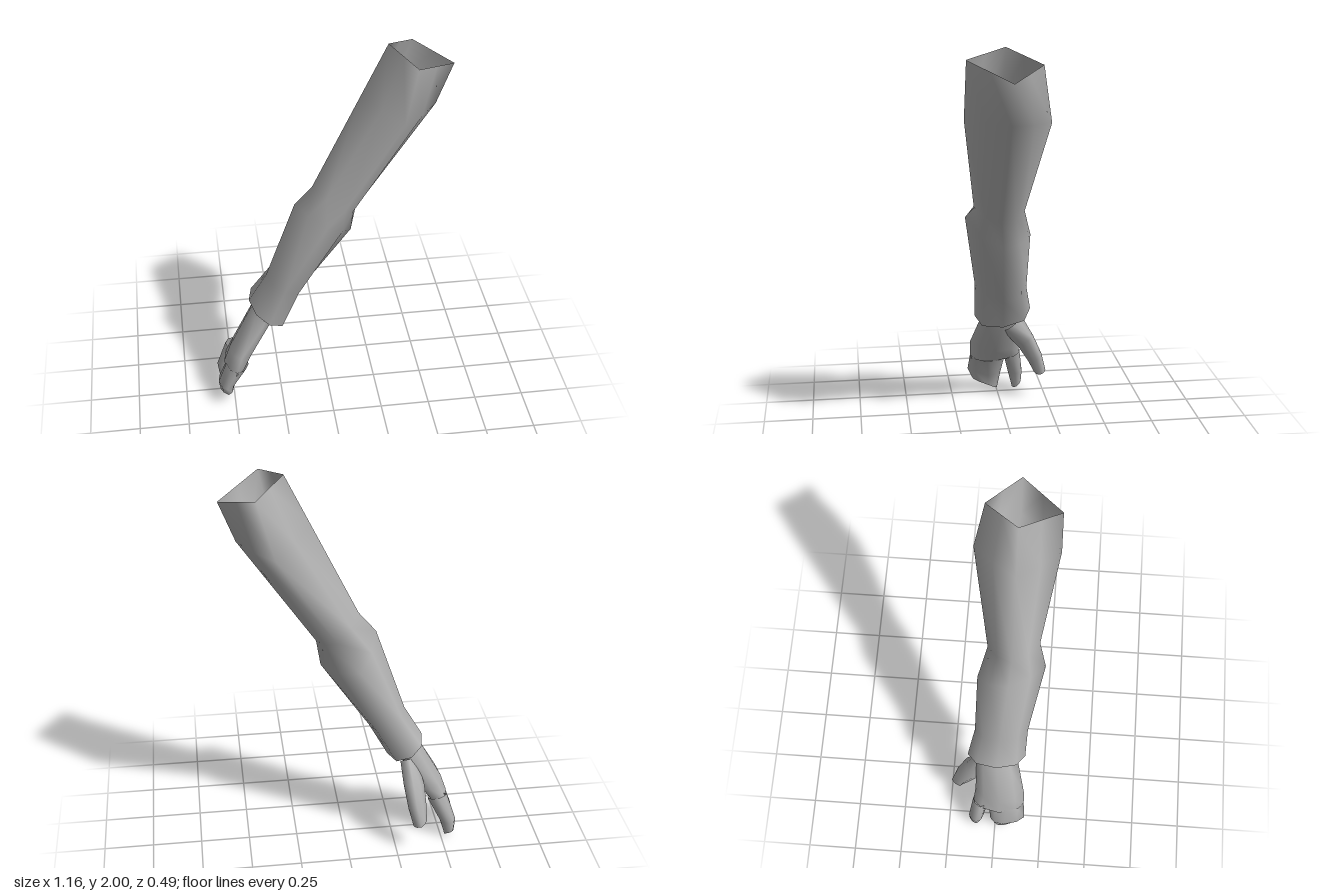
import * as THREE from 'three';

const grey = new THREE.MeshStandardMaterial({ color: 0xb0b0b0, side: THREE.DoubleSide });
grey.name = 'plain grey';

// Skin through rings running downwards. Each ring gives its outer, front, inner and
// back points, then how full its outer and inner corners are (0.5 = straight diamond).
function loft(name, rings, capped) {
  const pos = [], idx = [];
  const loops = rings.map(([o, f, i, b, outer = 0.66, inner = 0.66]) => {
    const [O, F, I, B] = [o, f, i, b].map((p) => new THREE.Vector3(...p));
    const c = O.clone().add(F).add(I).add(B).multiplyScalar(0.25);
    const corner = (p, q, k) => p.clone().add(q).addScaledVector(c, -2).multiplyScalar(k).add(c);
    return [O, corner(O, F, outer), F, corner(F, I, inner),
      I, corner(I, B, inner), B, corner(B, O, outer)];
  });
  loops.forEach((loop) => loop.forEach((p) => pos.push(p.x, p.y, p.z)));
  for (let k = 0; k < loops.length - 1; k++) {
    for (let j = 0; j < 8; j++) {
      const a = k * 8 + j, b = k * 8 + (j + 1) % 8;
      idx.push(a, a + 8, b + 8, a, b + 8, b);
    }
  }
  // Closed tip with its own ring, so the edge stays sharp
  if (capped) {
    const last = loops[loops.length - 1], start = pos.length / 3;
    const mid = new THREE.Vector3();
    last.forEach((p) => { pos.push(p.x, p.y, p.z); mid.addScaledVector(p, 1 / 8); });
    pos.push(mid.x, mid.y, mid.z);
    for (let j = 0; j < 8; j++) idx.push(start + 8, start + (j + 1) % 8, start + j);
  }
  const geo = new THREE.BufferGeometry();
  geo.setAttribute('position', new THREE.Float32BufferAttribute(pos, 3));
  geo.setIndex(idx);
  geo.computeVertexNormals();
  const mesh = new THREE.Mesh(geo, grey);
  mesh.name = name;
  return mesh;
}

export function createModel() {
  const arm = new THREE.Group();
  arm.name = 'arm';

  // Sleeve: shoulder opening, biceps, two elbow rings, forearm, open cuff
  arm.add(loft('sleeve', [
    [[0.27, 2.0, 0.05], [0.375, 1.96, 0.24], [0.577, 1.882, 0.05], [0.41, 1.937, -0.105], 0.5, 0.5],
    [[0.15, 1.75, 0.05], [0.32, 1.68, 0.247], [0.5, 1.68, 0.05], [0.33, 1.66, -0.155], 0.54, 0.54],
    [[-0.08, 1.27, 0.05], [0.06, 1.2, 0.178], [0.13, 1.13, 0.05], [0.035, 1.17, -0.073], 0.6, 0.6],
    [[-0.165, 1.17, 0.04], [-0.03, 1.13, 0.213], [0.11, 1.0, 0.04], [-0.07, 1.02, -0.117], 0.6, 0.6],
    [[-0.31, 0.74, 0.01], [-0.23, 0.72, 0.147], [-0.13, 0.65, 0.01], [-0.235, 0.69, -0.122], 0.66, 0.72],
    [[-0.402, 0.58, 0], [-0.31, 0.52, 0.142], [-0.225, 0.475, 0], [-0.325, 0.54, -0.155], 0.7, 0.75],
  ], false));

  // Hand
  const hand = new THREE.Group();
  hand.name = 'hand';
  hand.add(loft('palm', [
    [[-0.35, 0.6, 0], [-0.31, 0.57, 0.1], [-0.25, 0.54, 0], [-0.3, 0.57, -0.1]],
    [[-0.4, 0.52, 0], [-0.345, 0.48, 0.11], [-0.29, 0.46, 0], [-0.34, 0.49, -0.11]],
    [[-0.515, 0.3, 0.02], [-0.46, 0.32, 0.15], [-0.38, 0.28, 0.02], [-0.44, 0.3, -0.11]],
    [[-0.545, 0.21, 0.02], [-0.49, 0.21, 0.15], [-0.43, 0.21, 0.02], [-0.49, 0.22, -0.12]],
  ], true));
  hand.add(loft('joinedFingers', [
    [[-0.535, 0.23, 0.06], [-0.485, 0.23, 0.15], [-0.42, 0.21, 0.06], [-0.48, 0.22, -0.04]],
    [[-0.58, 0.1, 0.05], [-0.54, 0.13, 0.158], [-0.49, 0.1, 0.05], [-0.55, 0.1, -0.025]],
    [[-0.572, 0.045, 0.05], [-0.535, 0.07, 0.13], [-0.505, 0.04, 0.05], [-0.55, 0.005, -0.005]],
  ], true));
  hand.add(loft('indexFinger', [
    [[-0.53, 0.25, -0.08], [-0.48, 0.22, -0.035], [-0.43, 0.23, -0.08], [-0.48, 0.25, -0.12]],
    [[-0.577, 0.1, -0.1], [-0.54, 0.1, -0.065], [-0.495, 0.1, -0.1], [-0.54, 0.1, -0.142]],
    [[-0.57, 0.03, -0.105], [-0.545, 0.008, -0.088], [-0.52, 0.015, -0.11], [-0.545, 0.038, -0.137]],
  ], true));
  hand.add(loft('thumb', [
    [[-0.37, 0.47, -0.05], [-0.33, 0.42, -0.01], [-0.285, 0.46, -0.06], [-0.32, 0.5, -0.11]],
    [[-0.4, 0.35, -0.13], [-0.36, 0.31, -0.1], [-0.29, 0.37, -0.14], [-0.335, 0.38, -0.175]],
    [[-0.405, 0.25, -0.18], [-0.37, 0.22, -0.155], [-0.31, 0.25, -0.19], [-0.35, 0.27, -0.222]],
    [[-0.405, 0.175, -0.2], [-0.365, 0.16, -0.185], [-0.335, 0.155, -0.215], [-0.37, 0.17, -0.247]],
  ], true));
  arm.add(hand);
  return arm;
}
